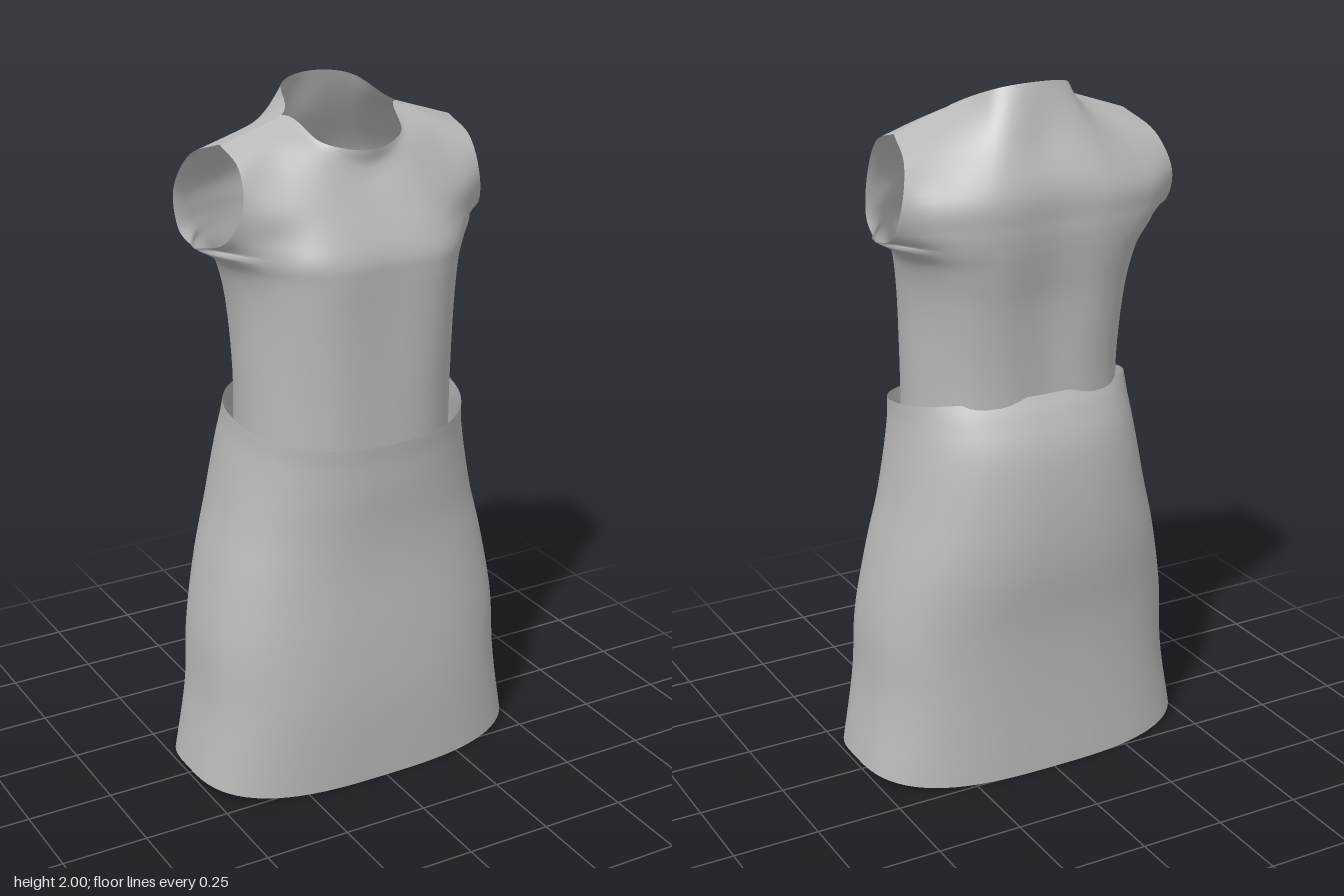
import * as THREE from 'three';
import { mergeVertices, mergeGeometries } from 'three/addons/utils/BufferGeometryUtils.js';

const V = (x, y, z) => new THREE.Vector3(x, y, z);
const spline = (pts) => new THREE.CatmullRomCurve3(pts, false, 'catmullrom', 0.5);

// Sheet of quads through f(u, v), with u, v running 0..1
function sheet(nu, nv, f) {
  const pos = [], idx = [];
  for (let j = 0; j <= nv; j++)
    for (let i = 0; i <= nu; i++) pos.push(...f(i / nu, j / nv).toArray());
  for (let j = 0; j < nv; j++)
    for (let i = 0; i < nu; i++) {
      const a = j * (nu + 1) + i, b = a + 1, c = a + nu + 1, d = c + 1;
      idx.push(a, b, d, a, d, c);
    }
  const g = new THREE.BufferGeometry();
  g.setAttribute('position', new THREE.Float32BufferAttribute(pos, 3));
  g.setIndex(idx);
  return g;
}

function smooth(geometries) {
  const g = mergeVertices(mergeGeometries(geometries), 1e-4);
  g.computeVertexNormals();
  return g;
}

// Bodice guide rows, waist to shoulder; each runs from centre line to side seam / armhole
const FRONT = [
  [[0, 1, .278], [.15, 1, .262], [.26, 1, .18], [.31, 1, .03]],
  [[0, 1.2, .28], [.15, 1.2, .268], [.26, 1.2, .185], [.31, 1.2, .03]],
  [[0, 1.4, .283], [.16, 1.4, .275], [.265, 1.4, .19], [.315, 1.4, .02]],
  [[0, 1.52, .287], [.17, 1.52, .28], [.28, 1.52, .185], [.345, 1.53, 0]],
  [[0, 1.58, .287], [.18, 1.58, .277], [.3, 1.58, .18], [.425, 1.59, -.02]],
  [[0, 1.64, .265], [.17, 1.64, .256], [.3, 1.64, .18], [.395, 1.63, .1]],
  [[0, 1.72, .222], [.15, 1.73, .215], [.28, 1.73, .18], [.365, 1.73, .15]],
  [[0, 1.8, .178], [.13, 1.83, .165], [.25, 1.86, .1], [.355, 1.83, .11]],
  [[0, 1.852, .183], [.12, 1.875, .135], [.175, 1.93, .01], [.355, 1.87, 0]],
];
const BACK = [
  [[0, 1, -.2], [.15, 1, -.205], [.26, 1, -.14], [.31, 1, .03]],
  [[0, 1.2, -.205], [.15, 1.2, -.208], [.26, 1.2, -.14], [.31, 1.2, .03]],
  [[0, 1.4, -.215], [.16, 1.4, -.225], [.27, 1.4, -.16], [.315, 1.4, .02]],
  [[0, 1.52, -.235], [.17, 1.52, -.245], [.29, 1.52, -.18], [.345, 1.53, 0]],
  [[0, 1.58, -.245], [.17, 1.58, -.255], [.31, 1.58, -.2], [.425, 1.59, -.02]],
  [[0, 1.64, -.25], [.17, 1.64, -.26], [.32, 1.64, -.215], [.425, 1.62, -.12]],
  [[0, 1.74, -.248], [.17, 1.73, -.255], [.31, 1.73, -.21], [.415, 1.72, -.165]],
  [[0, 1.87, -.185], [.13, 1.86, -.19], [.25, 1.865, -.11], [.385, 1.82, -.12]],
  [[0, 2, -.145], [.11, 1.985, -.11], [.175, 1.93, .01], [.355, 1.87, 0]],
];
const UNDERARM = 4, LAST = 8;

// Vertical guide curves; the outer one breaks at the bottom of the armhole
function guides(rows) {
  const col = (k, a, b) => spline(rows.slice(a, b + 1).map((r) => V(...r[k])));
  const inner = [0, 1, 2].map((k) => col(k, 0, LAST));
  const seam = col(3, 0, UNDERARM), armhole = col(3, UNDERARM, LAST);
  return (v) => [
    ...inner.map((c) => c.getPoint(v)),
    v <= 0.5 ? seam.getPoint(v * 2) : armhole.getPoint(v * 2 - 1),
  ];
}

// One bodice panel; below the armhole it runs smoothly into the opposite panel
function panel(rows, opposite, dir) {
  const own = guides(rows), other = guides(opposite);
  const mirror = (p) => V(-p.x, p.y, p.z);
  return sheet(48, 48, (u, v) => {
    const g = own(v);
    const next = v <= 0.5 ? other(v)[2] : g[3].clone().multiplyScalar(2).sub(g[2]);
    const half = [...g, next];
    const s = (u * 2 - 1) * dir;
    // Straight shoulder seam
    if (v === 1 && Math.abs(s) > 2 / 3) {
      const p = g[2].clone().lerp(g[3], Math.abs(s) * 3 - 2);
      return s < 0 ? mirror(p) : p;
    }
    const pts = [...half.slice(1).reverse().map(mirror), ...half];
    return spline(pts).getPoint(0.5 + s * 3 / 8);
  });
}

// Skirt sections from hem to waist: height, half width, front z, back z
const SKIRT = [
  [.035, .51, .295, -.26], [.25, .474, .305, -.26], [.45, .464, .298, -.27],
  [.65, .428, .285, -.297], [.8, .392, .285, -.302], [.95, .365, .295, -.285],
  [1.05, .35, .3, -.245], [1.11, .347, .306, -.21],
];

function skirtGeometry() {
  const side = spline(SKIRT.map(([y, w]) => V(w, y, 0)));
  const depth = spline(SKIRT.map(([y, , f, b]) => V(f, y, b)));
  return sheet(72, 40, (u, v) => {
    const a = u * Math.PI * 2, s = side.getPoint(v), d = depth.getPoint(v);
    const e = 2 / THREE.MathUtils.lerp(2.9, 2.3, Math.min(1, v * 1.4));
    const pow = (t) => Math.sign(t) * Math.pow(Math.abs(t), e);
    const cx = pow(Math.sin(a)), cz = pow(Math.cos(a)), zc = 0.02;
    const z = zc + (cz > 0 ? d.x - zc : zc - d.z) * cz;
    // Waist slopes down to the front, hem dips at front and back
    const tilt = THREE.MathUtils.smoothstep(s.y, 0.6, 1.11);
    const dip = 1 - THREE.MathUtils.smoothstep(s.y, 0.03, 0.3);
    return V(s.x * cx, s.y - 0.18 * z * tilt - 0.033 * dip * cz * cz, z);
  });
}

export function createModel() {
  const group = new THREE.Group();
  group.name = 'dress';
  const fabric = new THREE.MeshStandardMaterial({ color: 0xb8b8b8, side: THREE.DoubleSide });
  fabric.name = 'grey fabric';

  const bodice = new THREE.Mesh(smooth([panel(FRONT, BACK, 1), panel(BACK, FRONT, -1)]), fabric);
  bodice.name = 'bodice';
  const skirt = new THREE.Mesh(smooth([skirtGeometry()]), fabric);
  skirt.name = 'skirt';
  group.add(bodice, skirt);
  return group;
}
